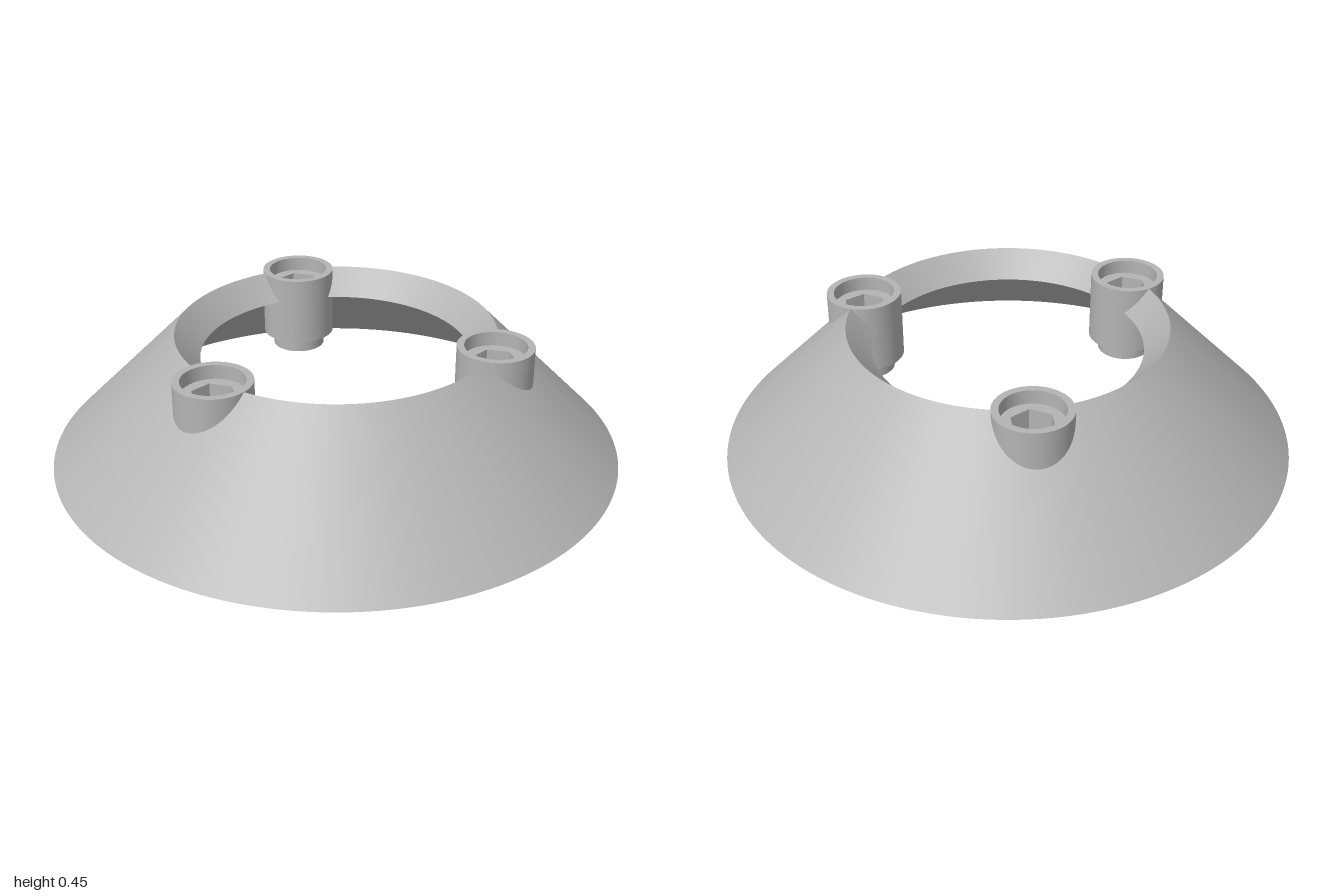
import * as THREE from 'three';
import { toCreasedNormals } from 'three/addons/utils/BufferGeometryUtils.js';

const RING = 0.555;       // radius of the top edge and of the socket centres
const CUT = 0.12;         // clearance cut in the cone wall around each socket
const STEPS = 360;

// Radii where a ray at angle t enters and leaves the nearest socket clearance
function clearance(t) {
  const third = (Math.PI * 2) / 3;
  const d = t - Math.round(t / third) * third;
  const h = CUT ** 2 - (RING * Math.sin(d)) ** 2;
  if (h <= 0) return [Infinity, 0];
  const m = RING * Math.cos(d);
  return [m - Math.sqrt(h), m + Math.sqrt(h)];
}

// Revolved strip from profile point a to b, clipped at the socket clearances
function strip([ra, ya], [rb, yb], isLip) {
  const pos = [], nor = [], idx = [];
  const dr = rb - ra, dy = yb - ya, len = Math.hypot(dr, dy);
  const lo = Math.min(ra, rb), hi = Math.max(ra, rb);
  for (let i = 0; i <= STEPS; i++) {
    const t = (i / STEPS) * Math.PI * 2, c = Math.cos(t), s = Math.sin(t);
    const [near, far] = clearance(t);
    for (const r0 of [ra, rb]) {
      const limited = isLip ? Math.min(r0, near) : Math.max(r0, far);
      const r = THREE.MathUtils.clamp(limited, lo, hi);
      pos.push(r * c, ya + (dy * (r - ra)) / dr, r * s);
      nor.push((dy / len) * c, -dr / len, (dy / len) * s);
    }
    if (i < STEPS) {
      const k = i * 2;
      idx.push(k, k + 1, k + 2, k + 1, k + 3, k + 2);
    }
  }
  const g = new THREE.BufferGeometry();
  g.setAttribute('position', new THREE.Float32BufferAttribute(pos, 3));
  g.setAttribute('normal', new THREE.Float32BufferAttribute(nor, 3));
  g.setIndex(idx);
  return g;
}

// Upright round block with a round or hexagonal hole
function holedCylinder(radius, hole, y0, y1) {
  const shape = new THREE.Shape().absarc(0, 0, radius, 0, Math.PI * 2);
  shape.holes.push(hole);
  const g = new THREE.ExtrudeGeometry(shape, { depth: y1 - y0, bevelEnabled: false, curveSegments: 48 });
  g.rotateX(-Math.PI / 2).translate(0, y0, 0);
  return toCreasedNormals(g, 0.6);
}

export function createModel() {
  const model = new THREE.Group();
  model.name = 'conicalRing';
  const grey = new THREE.MeshStandardMaterial({ color: 0xb4b4b4 });
  grey.name = 'grey';
  const add = (parent, name, geometry) => {
    const mesh = new THREE.Mesh(geometry, grey);
    mesh.name = name;
    parent.add(mesh);
  };

  // Hollow cone with a lip folded inward at the top
  const top = [RING, 0.45], lipIn = [0.47, 0.36], lipOut = [0.51, 0.36];
  const fold = [RING, 0.405], innerFoot = [0.96, 0], outerFoot = [1, 0];
  const cone = new THREE.Group();
  cone.name = 'coneShell';
  model.add(cone);
  add(cone, 'outerWall', strip(outerFoot, top, false));
  add(cone, 'lipTop', strip(top, lipIn, true));
  add(cone, 'lipEdge', strip(lipIn, lipOut, true));
  add(cone, 'lipUnderside', strip(lipOut, fold, true));
  add(cone, 'innerWall', strip(fold, innerFoot, false));
  add(cone, 'footEdge', strip(innerFoot, outerFoot, false));

  // Sockets: recessed rim, body and stepped spigot with a hexagonal bore
  const hex = new THREE.Path();
  hex.setFromPoints(Array.from({ length: 7 }, (_, i) => {
    const a = (i * Math.PI) / 3;
    return new THREE.Vector2(0.076 * Math.cos(a), 0.076 * Math.sin(a));
  }));
  const recess = new THREE.Path().absarc(0, 0, 0.107, 0, Math.PI * 2);
  const rim = holedCylinder(0.132, recess, 0.4, 0.45);
  const body = holedCylinder(0.132, hex, 0.2, 0.4);
  const spigot = holedCylinder(0.096, hex, 0.145, 0.2);
  for (let i = 0; i < 3; i++) {
    const a = (i * Math.PI * 2) / 3;
    const socket = new THREE.Group();
    socket.name = `socket${i + 1}`;
    socket.position.set(RING * Math.cos(a), 0, RING * Math.sin(a));
    add(socket, 'socketRim', rim);
    add(socket, 'socketBody', body);
    add(socket, 'socketSpigot', spigot);
    model.add(socket);
  }
  return model;
}
